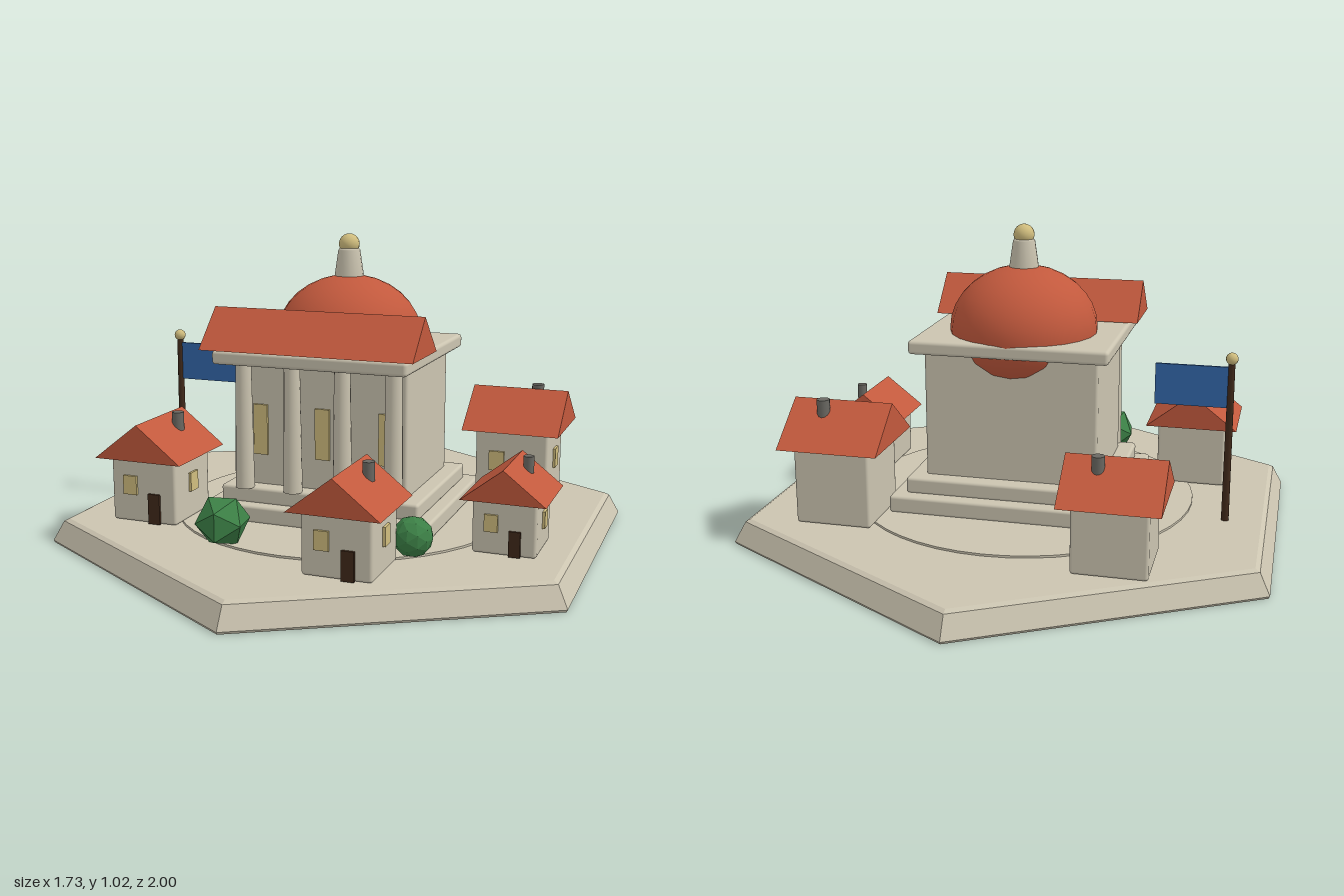
import * as THREE from 'three';
import { RoundedBoxGeometry } from 'three/addons/geometries/RoundedBoxGeometry.js';

const mat = (name, color) => {
  const m = new THREE.MeshStandardMaterial({ color });
  m.name = name;
  return m;
};

export function createModel() {
  const stone = mat('stone', 0xcbc4b0);
  const tile = mat('roof tile', 0xc2593d);
  const gold = mat('pale gold', 0xd0bd7e);
  const wood = mat('dark wood', 0x40291a);
  const iron = mat('chimney grey', 0x6a6862);
  const blue = mat('flag blue', 0x3468ab);
  const leaf = mat('leaf green', 0x3c8046);

  const root = new THREE.Group();
  root.name = 'townSquare';

  const add = (parent, name, geometry, material, x = 0, y = 0, z = 0) => {
    const mesh = new THREE.Mesh(geometry, material);
    mesh.name = name;
    mesh.position.set(x, y, z);
    parent.add(mesh);
    return mesh;
  };
  const group = (name, x = 0, y = 0, z = 0) => {
    const g = new THREE.Group();
    g.name = name;
    g.position.set(x, y, z);
    root.add(g);
    return g;
  };
  const flat = (geometry) => {
    const g = geometry.index ? geometry.toNonIndexed() : geometry;
    g.computeVertexNormals();
    return g;
  };
  // soft-edged block standing on its own base
  const block = (w, h, d, r = 0.01) => new RoundedBoxGeometry(w, h, d, 2, r).translate(0, h / 2, 0);
  // triangular prism with its ridge along z
  const gable = (span, rise, length) => {
    const s = new THREE.Shape();
    s.moveTo(-span / 2, 0);
    s.lineTo(span / 2, 0);
    s.lineTo(0, rise);
    s.closePath();
    return new THREE.ExtrudeGeometry(s, { depth: length, bevelEnabled: false }).translate(0, 0, -length / 2);
  };

  // hexagonal ground slab with a chamfered rim
  const rim = [[0, 0], [0.995, 0], [1, 0.008], [0.962, 0.074], [0.945, 0.082], [0, 0.082]]
    .map(([x, y]) => new THREE.Vector2(x, y));
  add(root, 'ground', flat(new THREE.LatheGeometry(rim, 6)), stone);
  add(root, 'plaza', new THREE.CylinderGeometry(0.58, 0.58, 0.012, 48), stone, 0, 0.083, 0);

  // temple
  const temple = group('temple');
  add(temple, 'lowerStep', block(0.78, 0.058, 0.635), stone, 0, 0.087, -0.003);
  add(temple, 'upperStep', block(0.69, 0.055, 0.55), stone, 0, 0.142, 0);
  add(temple, 'hall', block(0.58, 0.44, 0.44), stone, 0, 0.19, 0);
  for (const x of [-0.22, 0, 0.22]) {
    add(temple, 'hallWindow', new THREE.BoxGeometry(0.05, 0.17, 0.009), gold, x, 0.385, 0.224);
  }
  for (const x of [-0.26, -0.087, 0.087, 0.26]) {
    add(temple, 'column', new THREE.CylinderGeometry(0.026, 0.032, 0.43, 16), stone, x, 0.41, 0.268);
  }
  add(temple, 'entablature', block(0.66, 0.046, 0.632, 0.012), stone, 0, 0.62, 0.044);
  add(temple, 'porchRoof', gable(0.25, 0.126, 0.718), tile, 0, 0.67, 0.265).rotation.y = Math.PI / 2;
  add(temple, 'dome', new THREE.SphereGeometry(0.248, 24, 16), tile, 0, 0.675, -0.025).scale.y = 0.85;
  const lantern = [[0, 0], [0.046, 0], [0.05, 0.006], [0.037, 0.096], [0.032, 0.102], [0, 0.102]]
    .map(([x, y]) => new THREE.Vector2(x, y));
  add(temple, 'lantern', new THREE.LatheGeometry(lantern, 16), stone, 0, 0.872, -0.025);
  add(temple, 'finial', new THREE.SphereGeometry(0.035, 16, 12), gold, 0, 0.988, -0.025);

  // houses: centre x, centre z, roof width, wall height, ridge along x
  const houses = [
    [-0.405, -0.535, 0.31, 0.215, true],
    [0.529, -0.341, 0.336, 0.257, true],
    [0.635, 0.228, 0.266, 0.172, false],
    [0.233, 0.588, 0.293, 0.196, false],
    [-0.553, 0.312, 0.313, 0.216, false],
  ];
  for (const [x, z, roof, h, alongX] of houses) {
    const house = group('house', x, 0.085, z);
    const s = roof * 0.755;
    const rise = roof * 0.39;
    const front = s / 2 + 0.004;
    add(house, 'walls', block(s, h + 0.003, s), stone);
    add(house, 'roof', gable(roof, rise, roof), tile, 0, h, 0).rotation.y = alongX ? Math.PI / 2 : 0;
    add(house, 'door', new THREE.BoxGeometry(0.18 * s, 0.47 * h, 0.009), wood, 0.17 * s, 0.235 * h, front);
    const pane = new THREE.BoxGeometry(0.21 * s, 0.27 * s, 0.009);
    add(house, 'frontWindow', pane, gold, -0.2 * s, 0.58 * h, front);
    add(house, 'sideWindow', pane, gold, front, 0.58 * h, 0).rotation.y = Math.PI / 2;
    add(house, 'chimney', new THREE.CylinderGeometry(0.064 * roof, 0.064 * roof, 0.2 * roof, 12), iron,
      0.16 * roof, h + rise + 0.01 - 0.1 * roof, -0.115 * roof);
  }

  // flag
  const flag = group('flag', -0.7, 0.08, -0.11);
  add(flag, 'pole', new THREE.CylinderGeometry(0.011, 0.013, 0.54, 10), wood, 0, 0.27, 0);
  add(flag, 'poleBall', new THREE.SphereGeometry(0.02, 12, 10), gold, 0, 0.548, 0);
  add(flag, 'cloth', new THREE.BoxGeometry(0.235, 0.135, 0.009), blue, 0.125, 0.453, 0);

  // faceted shrubs
  const shrub = add(root, 'largeShrub', flat(new THREE.IcosahedronGeometry(0.087, 0)), leaf, -0.217, 0.158, 0.523);
  shrub.scale.set(1, 1, 1.15);
  shrub.rotation.y = 0.15;
  add(root, 'smallShrub', flat(new THREE.IcosahedronGeometry(0.064, 1)), leaf, 0.38, 0.15, 0.437);

  return root;
}
